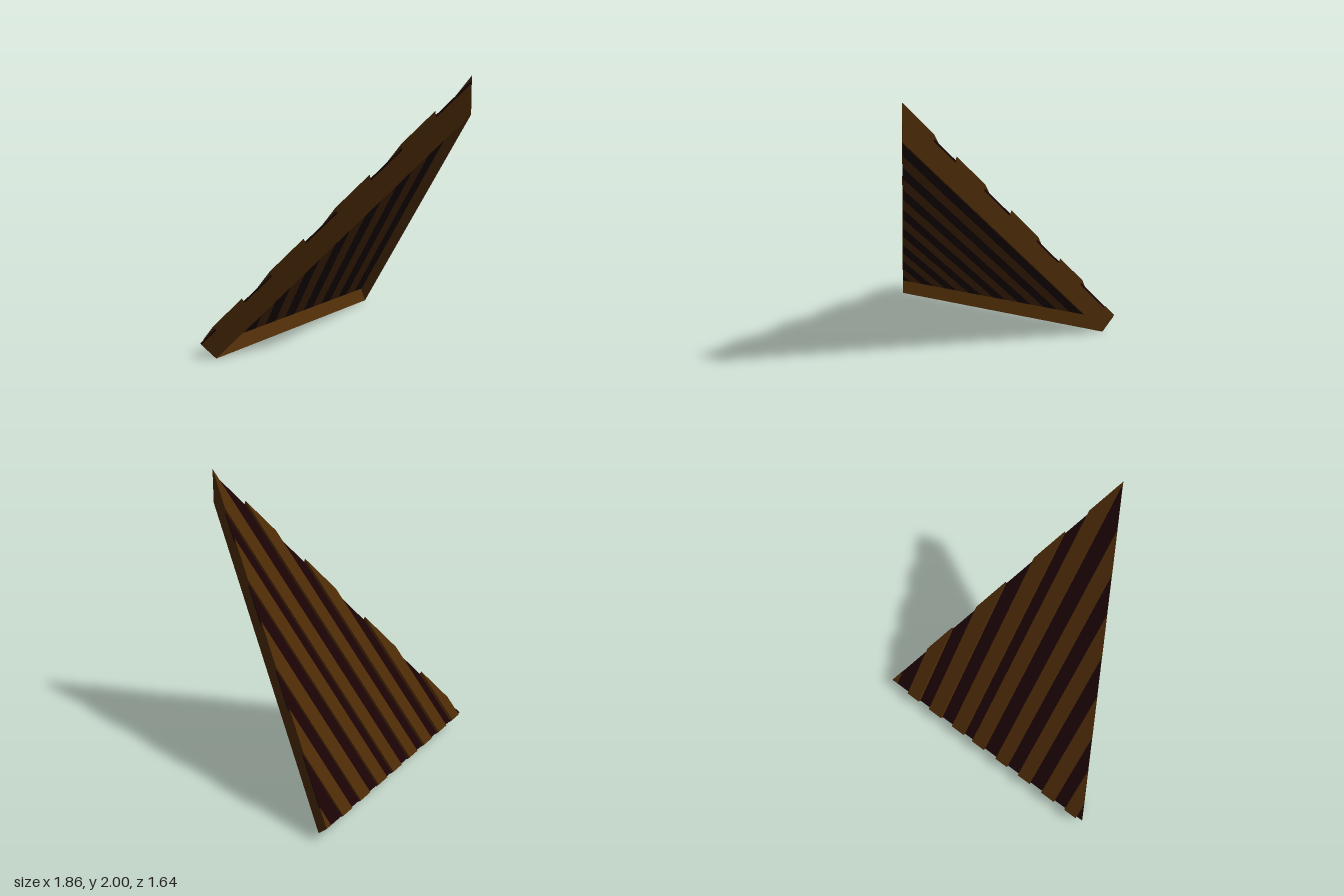
import * as THREE from 'three';

const SLOPE = 1.15;      // rise of the panel per unit of z
const APEX_Y = 1.97;     // height of the base panel at its tip
const TIP = 0.82;        // z of the tip
const BACK = -0.8;       // z of the eave
const HALF = 0.93;       // half width at the eave
const TAPER = HALF / (TIP - BACK);
const DEPTH = 0.222;     // vertical depth of the side boards
const CUT = 0.45;        // forward lean of the square-cut eave per unit of drop
const SKIN = 0.02;       // thickness of the dark panel

const planeY = z => APEX_Y - SLOPE * (TIP - z);

export function createModel() {
  const brown = new THREE.MeshStandardMaterial({ color: 0x4b2a06, side: THREE.DoubleSide });
  brown.name = 'brown wood';
  const dark = new THREE.MeshStandardMaterial({ color: 0x1a0305, side: THREE.DoubleSide });
  dark.name = 'dark wood';

  const group = new THREE.Group();
  group.name = 'triangularRoofPanel';

  const add = (name, geometry, material) => {
    const mesh = new THREE.Mesh(geometry, material);
    mesh.name = name;
    group.add(mesh);
  };

  // Board with an [x, z] outline, sheared to the pitch of the roof and cut square at the eave
  const board = (name, outline, top, thickness, material) => {
    const shape = new THREE.Shape(outline.map(([x, z]) => new THREE.Vector2(x, z)));
    const geometry = new THREE.ExtrudeGeometry(shape, { depth: thickness, bevelEnabled: false });
    geometry.rotateX(Math.PI / 2);
    const pos = geometry.attributes.position;
    for (let i = 0; i < pos.count; i++) {
      const y = pos.getY(i);
      const scale = 1 + CUT * y / (TIP - BACK);
      const z = TIP - (TIP - pos.getZ(i)) * scale;
      pos.setXYZ(i, pos.getX(i) * scale, planeY(z) + top + y, z);
    }
    geometry.computeVertexNormals();
    add(name, geometry, material);
  };

  // Flat four-cornered face
  const quad = (name, a, b, c, d, material) => {
    const geometry = new THREE.BufferGeometry();
    geometry.setAttribute('position', new THREE.Float32BufferAttribute([a, b, c, d].flat(), 3));
    geometry.setIndex([0, 1, 2, 0, 2, 3]);
    geometry.computeVertexNormals();
    add(name, geometry, material);
  };

  // Dark panel, its edge showing between the planks
  board('basePanel', [[-HALF + 0.002, BACK], [HALF - 0.002, BACK], [0, TIP - 0.0035]], 0, SKIN, dark);

  // Raised planks running up the slope
  const edgeZ = x => TIP - Math.abs(x) / TAPER;
  const plank = (a, b, back, rise) =>
    board('plank', [[a, back], [b, back], [b, edgeZ(b)], [a, edgeZ(a)]], rise, rise + SKIN, brown);
  const planks = [
    [-0.88, -0.775], [-0.675, -0.555], [-0.445, -0.33], [-0.225, -0.115], [0, 0.115],
    [0.2, 0.315], [0.425, 0.545], [0.65, 0.76],
  ];
  for (const [a, b] of planks) plank(a, b, -0.817, 0.03);
  plank(0.88, HALF - 0.001, BACK - 0.001, 0.003);

  // Underside battens, parallel to the left edge of the panel
  const z0 = -0.762;
  const tip = TIP - 0.005;
  const half = TAPER * (tip - z0);
  const meet = a => {
    const z = (a / TAPER + z0 + tip) / 2;
    return [-TAPER * (tip - z), z];
  };
  const width = 0.1095;
  for (let i = -2; i < 16; i++) {
    const start = -0.73 + i * width;
    const a = Math.max(start, -half);
    const b = Math.min(start + width, half);
    if (b - a < 0.005) continue;
    const isDark = i % 2 === 0;
    board(isDark ? 'darkBatten' : 'brownBatten',
      [[a, z0], [b, z0], meet(b), meet(a)], -0.06, 0.01, isDark ? dark : brown);
  }

  // Upright side boards and the square-cut eave board
  const apex = drop => [0, APEX_Y - drop, TIP];
  const corner = (side, drop) => {
    const z = BACK + CUT * drop;
    return [side * TAPER * (TIP - z), planeY(z) - drop, z];
  };
  quad('leftSideBoard', apex(SKIN), apex(DEPTH), corner(1, DEPTH), corner(1, SKIN), brown);
  quad('rightSideBoard', corner(-1, SKIN), corner(-1, DEPTH), apex(DEPTH), apex(SKIN), brown);
  quad('eaveBoard', corner(1, SKIN), corner(1, DEPTH), corner(-1, DEPTH), corner(-1, SKIN), brown);

  return group;
}
